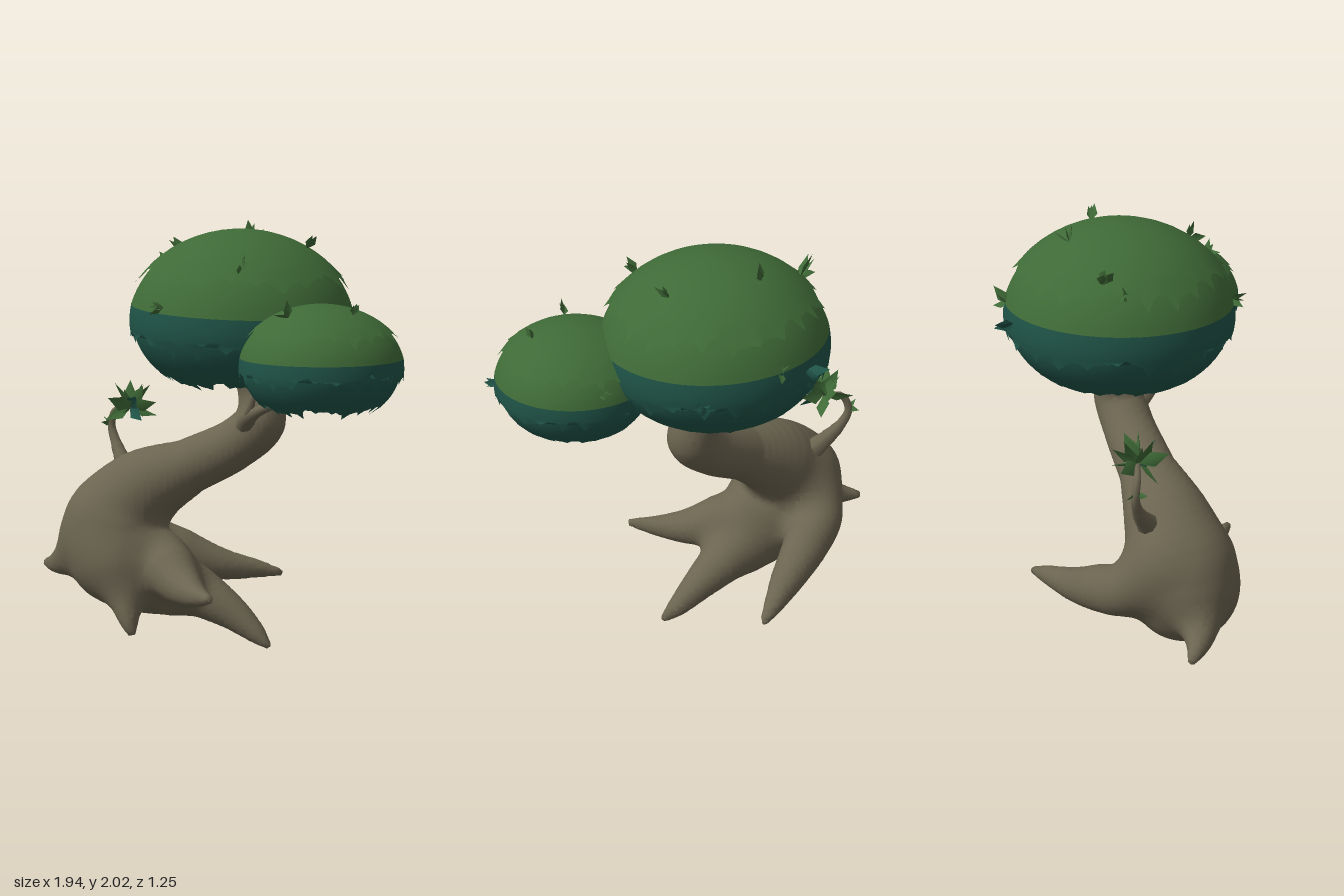
import * as THREE from 'three';
import { mergeVertices } from 'three/addons/utils/BufferGeometryUtils.js';

const mat = (name, color, double) => {
  const m = new THREE.MeshStandardMaterial({ color, side: double ? THREE.DoubleSide : THREE.FrontSide });
  m.name = name;
  return m;
};

export function createModel() {
  const root = new THREE.Group();
  root.name = 'tree';
  const bark = mat('bark', 0x6b6450);
  const green = mat('leafGreen', 0x3f6a37, true);
  const teal = mat('leafTeal', 0x1f5347, true);

  let seed = 7;
  const rnd = () => (seed = (seed * 16807) % 2147483647) / 2147483647;

  const add = (parent, name, geo, material) => {
    const m = new THREE.Mesh(geo, material);
    m.name = name;
    parent.add(m);
    return m;
  };

  // Smooth path through [x, y, z, radius], sampled as {c: centre, r: radius}
  function samplePath(pts, per) {
    const curve = new THREE.CatmullRomCurve3(pts.map(p => new THREE.Vector3(p[0], p[1], p[2])));
    const n = (pts.length - 1) * per;
    return Array.from({ length: n + 1 }, (_, i) => {
      const t = i / per, k = Math.min(Math.floor(t), pts.length - 2);
      return { c: curve.getPoint(i / n), r: THREE.MathUtils.lerp(pts[k][3], pts[k + 1][3], t - k) };
    });
  }

  // Trunk and roots, melted into one smooth body
  const limbs = [
    // leaning trunk swelling into the base
    [[-0.03, 1.35, -0.08, 0.095], [-0.01, 1.22, -0.11, 0.1], [0.01, 1.09, -0.1, 0.122], [-0.08, 0.98, -0.03, 0.122],
      [-0.28, 0.85, 0.12, 0.135], [-0.47, 0.72, 0.26, 0.2], [-0.56, 0.55, 0.35, 0.25], [-0.52, 0.42, 0.355, 0.255],
      [-0.42, 0.31, 0.28, 0.18], [-0.32, 0.25, 0.2, 0.12]],
    // left front root
    [[-0.3, 0.4, 0.26, 0.14], [-0.2, 0.37, 0.28, 0.13], [-0.06, 0.33, 0.31, 0.095], [0.1, 0.32, 0.35, 0.055], [0.25, 0.335, 0.385, 0.02]],
    // left back root
    [[-0.36, 0.32, 0.22, 0.13], [-0.2, 0.25, 0.12, 0.12], [-0.04, 0.16, 0.03, 0.08], [0.07, 0.08, -0.02, 0.05], [0.14, 0.03, -0.04, 0.02]],
    // front root
    [[-0.46, 0.5, 0.38, 0.14], [-0.41, 0.38, 0.41, 0.13], [-0.35, 0.26, 0.44, 0.09], [-0.28, 0.15, 0.47, 0.048], [-0.245, 0.095, 0.48, 0.022]],
    // right root
    [[-0.58, 0.6, 0.4, 0.14], [-0.67, 0.47, 0.44, 0.13], [-0.75, 0.38, 0.48, 0.095], [-0.85, 0.33, 0.5, 0.055], [-0.96, 0.31, 0.5, 0.022]],
    // back root, sweeping around the right side
    [[-0.66, 0.62, 0.28, 0.12], [-0.66, 0.45, 0.12, 0.125], [-0.56, 0.37, -0.04, 0.11], [-0.44, 0.3, -0.2, 0.08], [-0.34, 0.27, -0.36, 0.045], [-0.28, 0.25, -0.45, 0.02]],
  ].map(pts => samplePath(pts, 6));

  const ab = new THREE.Vector3(), ap = new THREE.Vector3();
  function distance(p) {
    let d = 10;
    for (const path of limbs) {
      let near = 10;
      for (let i = 1; i < path.length; i++) {
        const a = path[i - 1], b = path[i];
        ab.subVectors(b.c, a.c);
        ap.subVectors(p, a.c);
        const t = Math.min(1, Math.max(0, ap.dot(ab) / ab.lengthSq()));
        near = Math.min(near, ap.addScaledVector(ab, -t).length() - a.r - (b.r - a.r) * t);
      }
      const h = Math.max(0.09 - Math.abs(d - near), 0) / 0.09;
      d = Math.min(d, near) - h * h * 0.0225;
    }
    return d;
  }

  // Surface net: one vertex per boundary cell, pulled onto the zero level
  function blendedBody() {
    const step = 0.022, min = [-1.03, -0.04, -0.53], n = [62, 70, 56];
    const id = q => (q[0] * n[1] + q[1]) * n[2] + q[2];
    const at = (q, o) => new THREE.Vector3(min[0] + (q[0] + o) * step, min[1] + (q[1] + o) * step, min[2] + (q[2] + o) * step);
    const field = new Float32Array(n[0] * n[1] * n[2]);
    const each = (from, fn) => {
      for (let i = from; i < n[0] - 1; i++) for (let j = from; j < n[1] - 1; j++) for (let k = from; k < n[2] - 1; k++) fn([i, j, k]);
    };
    each(0, q => { field[id(q)] = distance(at(q, 0)); });
    const pos = [], idx = [], vertex = new Map(), g = new THREE.Vector3();
    const cell = q => {
      const key = id(q);
      if (!vertex.has(key)) {
        const p = at(q, 0.5), e = 0.002;
        for (let s = 0; s < 3; s++) {
          const f = distance(p);
          ['x', 'y', 'z'].forEach(ax => {
            const o = p.clone();
            o[ax] += e;
            g[ax] = (distance(o) - f) / e;
          });
          p.addScaledVector(g, -f / Math.max(g.lengthSq(), 0.3));
        }
        vertex.set(key, pos.length / 3);
        pos.push(p.x, p.y, p.z);
      }
      return vertex.get(key);
    };
    each(1, q => {
      for (let a = 0; a < 3; a++) {
        const next = q.slice();
        next[a]++;
        if (next[a] >= n[a] - 1) continue;
        const inside = field[id(q)] < 0;
        if (inside === field[id(next)] < 0) continue;
        const [v0, v1, v2, v3] = [[0, 0], [1, 0], [1, 1], [0, 1]].map(([b, c]) => {
          const o = q.slice();
          o[(a + 1) % 3] -= b;
          o[(a + 2) % 3] -= c;
          return cell(o);
        });
        idx.push(...(inside ? [v0, v1, v2, v0, v2, v3] : [v0, v2, v1, v0, v3, v2]));
      }
    });
    const geo = new THREE.BufferGeometry();
    geo.setAttribute('position', new THREE.Float32BufferAttribute(pos, 3));
    geo.setIndex(idx);
    geo.computeVertexNormals();
    return geo;
  }
  add(root, 'trunkAndRoots', blendedBody(), bark);

  // Thin tapered tubes: branches under the canopy and the sprig stem
  function twig(name, pts) {
    const path = samplePath(pts, 5), sides = 8;
    let geo = new THREE.TubeGeometry(new THREE.CatmullRomCurve3(path.map(s => s.c)), path.length - 1, 1, sides);
    const curve = geo.parameters.path, pos = geo.attributes.position, v = new THREE.Vector3();
    path.forEach((s, i) => {
      const u = i / (path.length - 1), c = curve.getPointAt(u);
      const r = path[Math.round(curve.getUtoTmapping(u) * (path.length - 1))].r;
      for (let q = i * (sides + 1); q < (i + 1) * (sides + 1); q++) {
        v.fromBufferAttribute(pos, q).sub(c).multiplyScalar(r).add(c);
        pos.setXYZ(q, v.x, v.y, v.z);
      }
    });
    geo.deleteAttribute('uv');
    geo.deleteAttribute('normal');
    geo = mergeVertices(geo);
    geo.computeVertexNormals();
    add(root, name, geo, bark);
  }
  twig('branch', [[-0.02, 1.05, -0.03, 0.055], [0.08, 1.12, 0.03, 0.04], [0.19, 1.17, 0.05, 0.025],
    [0.34, 1.23, 0.04, 0.016], [0.48, 1.29, 0.02, 0.014], [0.57, 1.28, 0.09, 0.01], [0.59, 1.25, 0.17, 0.003]]);
  twig('branchFork', [[0.07, 1.11, 0.03, 0.03], [0.14, 1.18, 0.06, 0.018], [0.165, 1.28, 0.05, 0.012], [0.16, 1.34, 0.02, 0.004]]);
  twig('sprigStem', [[-0.62, 0.76, 0.22, 0.06], [-0.7, 0.83, 0.21, 0.042], [-0.78, 0.92, 0.2, 0.026],
    [-0.815, 1.0, 0.2, 0.02], [-0.78, 1.08, 0.2, 0.017], [-0.7, 1.1, 0.18, 0.012], [-0.67, 1.1, 0.18, 0.003]]);

  // Folded pointed leaf, one unit long along +y
  const leafGeo = new THREE.BufferGeometry();
  leafGeo.setAttribute('position', new THREE.Float32BufferAttribute(
    [0, 0, 0, -0.25, 0.42, 0.07, 0, 0.45, -0.02, 0.25, 0.42, 0.07, 0, 1, 0.08], 3));
  leafGeo.setIndex([0, 2, 1, 0, 3, 2, 1, 2, 4, 2, 3, 4]);
  leafGeo.computeVertexNormals();
  const up = new THREE.Vector3(0, 1, 0);
  function leaf(parent, at, dir, length, material) {
    const m = add(parent, 'leaf', leafGeo, material);
    m.position.copy(at);
    m.quaternion.setFromUnitVectors(up, dir.clone().normalize());
    m.rotateY(rnd() * 6.28);
    m.scale.setScalar(length);
  }

  // Sprig leaves fanning out of the stem tip
  const sprig = new THREE.Group();
  sprig.name = 'sprigLeaves';
  root.add(sprig);
  const tip = new THREE.Vector3(-0.68, 1.1, 0.18);
  for (let i = 0; i < 16; i++) {
    const a = i * 2.4, y = -0.6 + 2.6 * (i / 15);
    leaf(sprig, tip, new THREE.Vector3(Math.cos(a) + 0.25, y, Math.sin(a)), 0.125 + 0.03 * rnd(), i % 8 ? green : teal);
  }
  for (const d of [[-0.6, 0.5, 0.3], [-0.8, -0.1, -0.4], [-0.3, 0.2, 1]])
    leaf(sprig, new THREE.Vector3(-0.81, 1.01, 0.2), new THREE.Vector3(...d), 0.06, green);

  // Hollow canopy: overlapping leafy shells on an egg-shaped dome; heights are local to its centre
  function canopy(name, c, layers, tufts) {
    const g = new THREE.Group();
    g.name = name;
    g.position.set(...c.at);
    g.rotation.z = c.tilt;
    root.add(g);
    const theta = y => Math.acos(THREE.MathUtils.clamp(y / (y > 0 ? c.top : c.bottom), -1, 1));
    const point = (th, az, s) => new THREE.Vector3(
      Math.sin(th) * Math.sin(az) * c.r * s,
      Math.cos(th) * (Math.cos(th) > 0 ? c.top : c.bottom),
      Math.sin(th) * Math.cos(az) * c.r * s);
    const segs = 96, rings = 9;
    for (const [part, material, y0, y1, s0, s1, jag] of layers) {
      const pos = [], idx = [], th0 = theta(y0), th1 = theta(y1);
      // ragged hem: slow waves with pointed leaf tips
      const hem = Array.from({ length: segs }, (_, j) =>
        jag * (0.45 * Math.sin(j * Math.PI / 8) + 0.3 * Math.sin(j * Math.PI / 3) + (j % 4 === 0 ? 0.2 + 1.1 * rnd() : -0.3 * rnd())));
      for (let i = 0; i <= rings; i++) for (let j = 0; j < segs; j++) {
        const t = i / rings, az = j / segs * Math.PI * 2, last = i === rings;
        const th = th0 + (th1 - th0) * t + (last ? hem[j] : 0);
        const lift = last && jag && j % 4 === 0 ? 0.03 * rnd() : 0;
        pos.push(...point(th, az, s0 + (s1 - s0) * t * t + lift).toArray());
        if (last) continue;
        const a = i * segs + j, d = i * segs + (j + 1) % segs;
        idx.push(a, a + segs, d + segs, a, d + segs, d);
      }
      const geo = new THREE.BufferGeometry();
      geo.setAttribute('position', new THREE.Float32BufferAttribute(pos, 3));
      geo.setIndex(idx);
      geo.computeVertexNormals();
      add(g, part, geo, material);
    }
    // Stray leaves poking out: [azimuth, height, length]
    for (const [az, y, len] of tufts) {
      const at = point(theta(y), az, 0.98);
      for (let k = 0; k < 3; k++) {
        const spread = new THREE.Vector3(rnd() - 0.5, rnd() - 0.4, rnd() - 0.5).multiplyScalar(1.6);
        leaf(g, at, at.clone().normalize().add(spread), len * (0.8 + 0.4 * rnd()), y < 0.03 ? teal : green);
      }
    }
  }

  canopy('largeCanopy', { at: [-0.095, 1.57, -0.07], r: 0.528, top: 0.43, bottom: 0.365, tilt: -0.045 }, [
    ['crownCap', green, 0.43, 0.22, 1, 1.03, 0.1],
    ['upperSkirt', green, 0.31, 0.063, 0.98, 1.01, 0],
    ['middleSkirt', teal, 0.063, -0.08, 1.01, 1.02, 0.12],
    ['lowerSkirt', teal, -0.01, -0.275, 0.985, 1.03, 0.12],
  ], [[-1.5, 0.26, 0.12], [-1.25, 0.23, 0.09], [-2.44, 0.01, 0.11], [-2.7, 0.06, 0.09], [-2.33, 0.37, 0.08],
    [2.3, 0.35, 0.09], [0.9, 0.28, 0.08], [0.14, 0.09, 0.08], [2.9, -0.04, 0.07]]);

  canopy('smallCanopy', { at: [0.547, 1.42, -0.028], r: 0.367, top: 0.27, bottom: 0.27, tilt: 0 }, [
    ['crownCap', green, 0.27, 0.14, 1, 1.03, 0.1],
    ['upperSkirt', green, 0.2, 0.028, 0.98, 1.01, 0],
    ['middleSkirt', teal, 0.028, -0.05, 1.01, 1.03, 0.13],
    ['lowerSkirt', teal, -0.01, -0.19, 0.98, 1.03, 0.13],
  ], [[1.7, 0.23, 0.07], [0.1, 0.22, 0.07], [1.5, -0.02, 0.06], [-2.9, 0.08, 0.07]]);

  return root;
}
